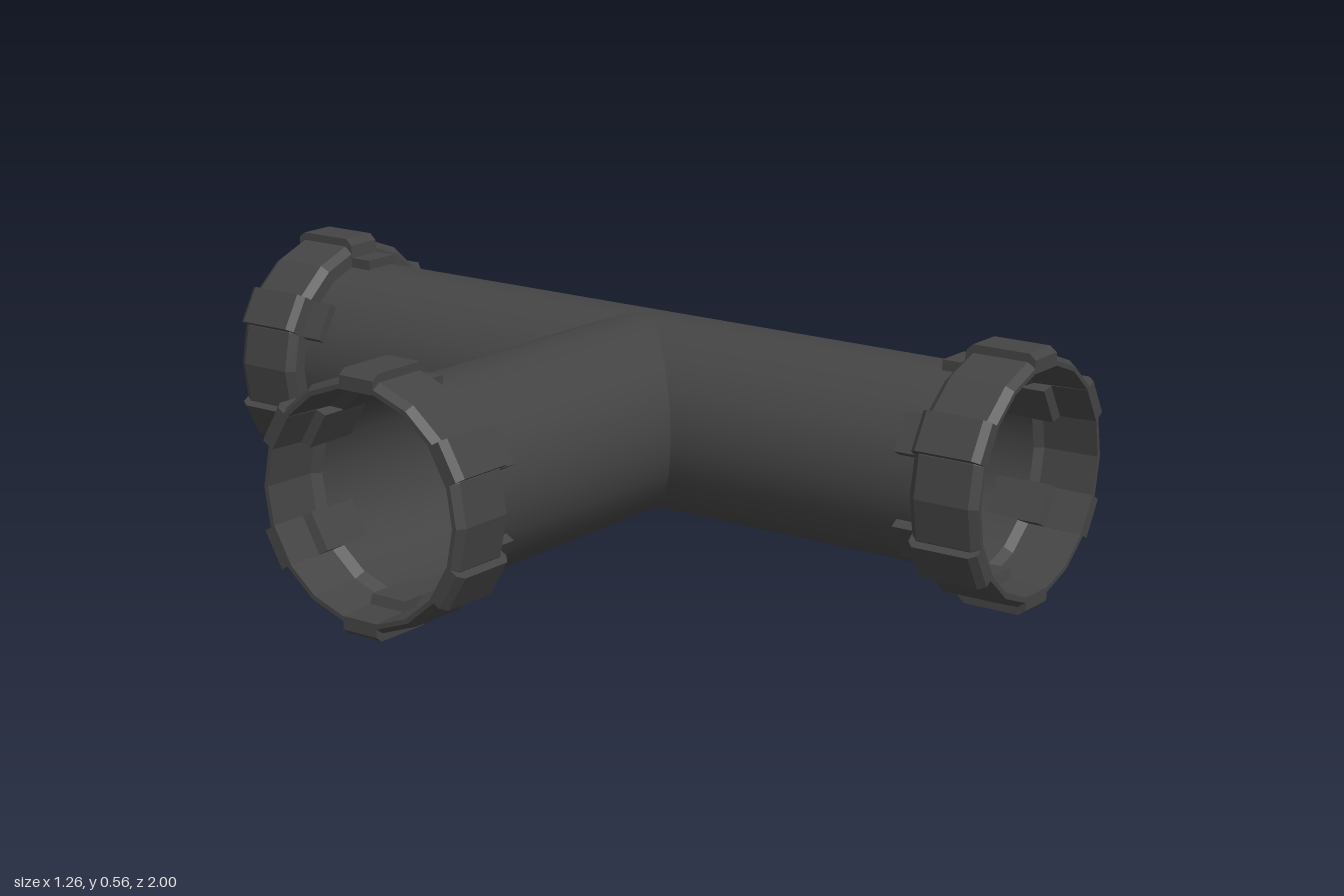
import * as THREE from 'three';

const CX = 0.364, CY = 0.28;      // where the pipe axes cross
const R = 0.219, SIDES = 18;      // pipe radius and sides
const CLIP_WIDTH = 0.088;

const smooth = new THREE.MeshStandardMaterial({ color: 0x444444, side: THREE.DoubleSide });
const flat = new THREE.MeshStandardMaterial({ color: 0x444444, side: THREE.DoubleSide, flatShading: true });

function named(name, geometry, material) {
  const mesh = new THREE.Mesh(geometry, material);
  mesh.name = name;
  return mesh;
}

// Open pipe along +z from z = top down to z = cut(x), so that the arms meet in a mitre
function pipeGeometry(top, cut) {
  const pos = [], nor = [], idx = [];
  const n = SIDES * 2, apothem = R * Math.cos(Math.PI / SIDES);
  for (let i = 0; i <= n; i++) {
    const a = i / n * Math.PI * 2, r = i % 2 ? apothem : R;
    const x = r * Math.cos(a), y = r * Math.sin(a);
    pos.push(x, y, cut(x), x, y, top);
    for (let k = 0; k < 2; k++) nor.push(Math.cos(a), Math.sin(a), 0);
    if (i < n) {
      const b = i * 2;
      idx.push(b, b + 2, b + 1, b + 1, b + 2, b + 3);
    }
  }
  const g = new THREE.BufferGeometry();
  g.setAttribute('position', new THREE.Float32BufferAttribute(pos, 3));
  g.setAttribute('normal', new THREE.Float32BufferAttribute(nor, 3));
  g.setIndex(idx);
  return g;
}

// Faceted socket ring; profile points are [radius, depth behind the mouth]
function collarGeometry() {
  const profile = [
    [0.219, 0.15], [0.221, 0.165], [0.25, 0.163], [0.266, 0.145], [0.266, 0.018],
    [0.254, 0], [0.244, 0], [0.239, 0.125], [0.219, 0.15],
  ].map(([r, d]) => new THREE.Vector2(r, -d));
  return new THREE.LatheGeometry(profile, SIDES, Math.PI / 2).rotateX(Math.PI / 2);
}

// Clip over the collar, with a tab lying on the pipe and a lip inside the mouth
function clipGeometry() {
  const outline = [
    [0.268, 0], [0.28, 0.016], [0.28, 0.147], [0.266, 0.162], [0.237, 0.166],
    [0.237, 0.218], [0.214, 0.218], [0.214, 0.09], [0.235, 0.084], [0.239, 0],
  ].map(([r, d]) => new THREE.Vector2(r, -d));
  return new THREE.ExtrudeGeometry(new THREE.Shape(outline), { depth: CLIP_WIDTH, bevelEnabled: false })
    .translate(0, 0, -CLIP_WIDTH / 2).rotateX(Math.PI / 2);
}

export function createModel() {
  const model = new THREE.Group();
  model.name = 'pipeTee';
  const collar = collarGeometry(), clip = clipGeometry();

  // Each arm: pipe, collar and six clips, built along +z and turned into place
  const arms = [
    ['frontArm', 1, 0, x => Math.max(0, -x)],
    ['backArm', 1, Math.PI, x => Math.max(0, x)],
    ['sideArm', 0.63 + CX, -Math.PI / 2, x => Math.abs(x)],
  ];
  for (const [name, length, turn, cut] of arms) {
    const arm = new THREE.Group();
    arm.name = name;
    arm.add(named('pipe', pipeGeometry(length - 0.14, cut), smooth));
    const ring = named('collar', collar, flat);
    ring.position.z = length;
    arm.add(ring);
    for (let i = 0; i < 6; i++) {
      const c = named('clip', clip, flat);
      c.position.z = length;
      c.rotation.z = Math.PI / 6 + i * Math.PI / 3;
      arm.add(c);
    }
    arm.position.set(CX, CY, 0);
    arm.rotation.y = turn;
    model.add(arm);
  }
  return model;
}
